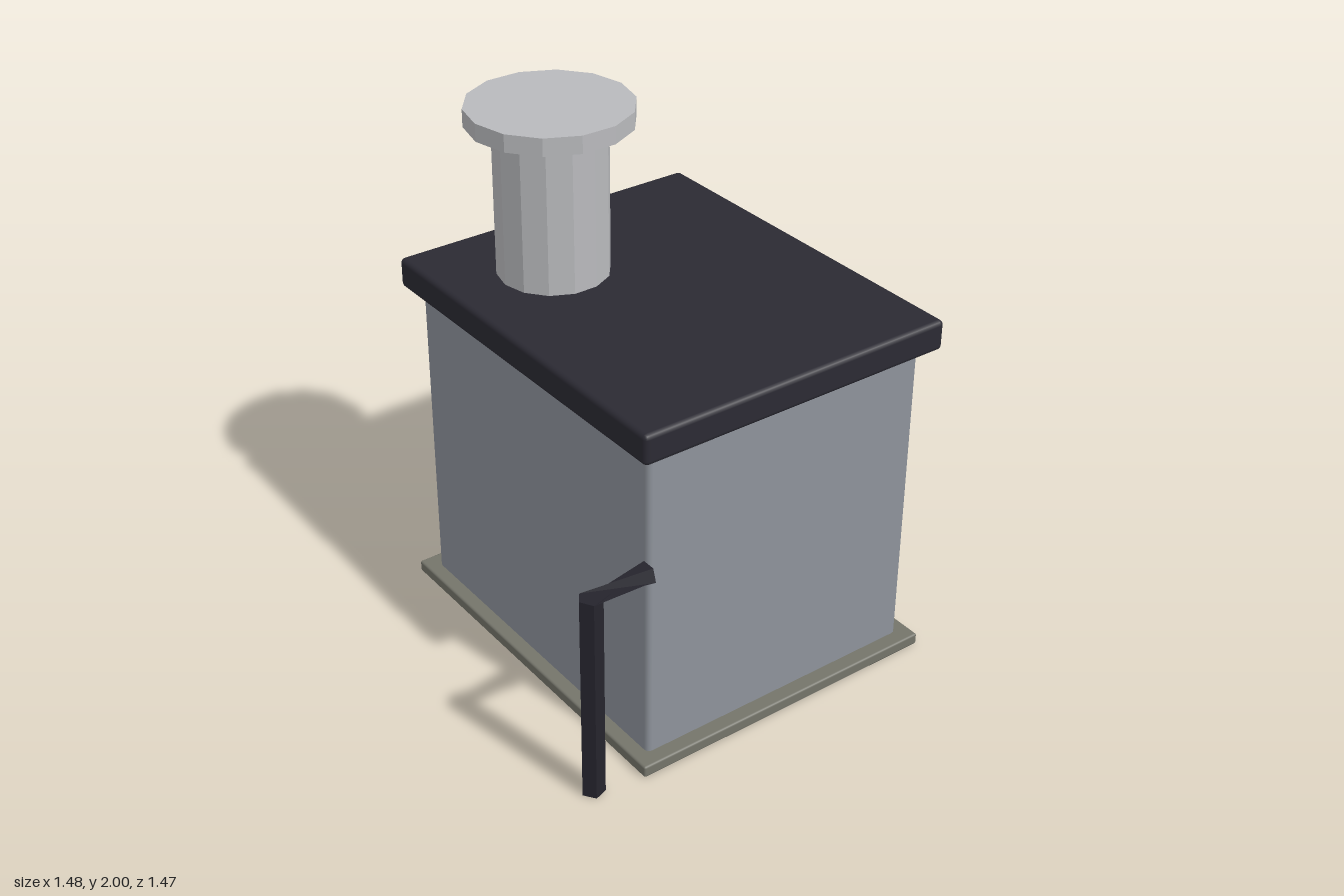
import * as THREE from 'three';
import { RoundedBoxGeometry } from 'three/addons/geometries/RoundedBoxGeometry.js';

const mat = (name, color, flatShading = false) => {
  const m = new THREE.MeshStandardMaterial({ color, flatShading });
  m.name = name;
  return m;
};

export function createModel() {
  const group = new THREE.Group();
  const steel = mat('greySteel', 0x8e939b);
  const dark = mat('darkTrim', 0x2b2a33);
  const handleDark = mat('darkPipe', 0x25242d, true);
  const stone = mat('baseGrey', 0x74746a);
  const zinc = mat('chimneyGrey', 0xb9babd, true);

  const add = (name, geometry, material, x = 0, y = 0, z = 0) => {
    const mesh = new THREE.Mesh(geometry, material);
    mesh.name = name;
    mesh.position.set(x, y, z);
    group.add(mesh);
    return mesh;
  };
  // Rounded box given by its vertical extent, sharing the cabinet's centre line
  const block = (name, w, d, y0, y1, r, material) =>
    add(name, new RoundedBoxGeometry(w, y1 - y0, d, 2, r), material, 0, (y0 + y1) / 2, -0.109);

  // Cabinet
  block('base', 1.482, 1.25, 0, 0.045, 0.008, stone);
  block('body', 1.365, 1.142, 0.01, 1.258, 0.02, steel);
  block('lid', 1.482, 1.25, 1.258, 1.372, 0.018, dark);

  // Chimney and its cap
  add('chimney', new THREE.CylinderGeometry(0.2035, 0.2035, 0.6, 14), zinc, -0.345, 1.65, 0.12);
  add('chimneyCap', new THREE.CylinderGeometry(0.297, 0.297, 0.065, 14), zinc, -0.345, 1.9675, 0.12);

  // Vent panel on the back with a column of round-ended slots
  add('ventPanel', new THREE.BoxGeometry(1.155, 1.035, 0.02), steel, 0, 0.628, -0.68);
  for (let i = 0; i < 8; i++) {
    const r = i === 7 ? 0.015 : 0.025, half = 0.5 - r;
    const slot = new THREE.Shape();
    slot.absarc(half, 0, r, -Math.PI / 2, Math.PI / 2, false);
    slot.absarc(-half, 0, r, Math.PI / 2, Math.PI * 1.5, false);
    const geo = new THREE.ExtrudeGeometry(slot, { depth: 0.004, bevelEnabled: false, curveSegments: 6 });
    add('ventSlot', geo, dark, 0, 0.215 + i * 0.12, -0.693);
  }

  // Side pipe: five-sided rings, upright then twisting into the cabinet
  const sides = 5, r = 0.043, rings = [];
  const ring = fn => rings.push(Array.from({ length: sides }, (_, i) => fn((i / sides) * Math.PI * 2)));
  ring(a => [0.685 + r * Math.sin(a), 0, 0.692 + r * Math.cos(a)]);
  ring(a => [0.685 + r * Math.sin(a), 0.804 + 0.006 * Math.cos(a), 0.692 + r * Math.cos(a)]);
  const twist = Math.PI * 0.6;
  ring(a => [0.685 + r * Math.sin(a + twist), 0.804 + r * Math.cos(a + twist), 0.462]);
  const index = [];
  for (let k = 0; k < 2; k++) {
    for (let i = 0; i < sides; i++) {
      const a = k * sides + i, b = k * sides + (i + 1) % sides;
      index.push(a, b, b + sides, a, b + sides, a + sides);
    }
  }
  for (let i = 1; i < sides - 1; i++) {
    index.push(0, i + 1, i);
    index.push(10, 10 + i, 11 + i);
  }
  const pipe = new THREE.BufferGeometry();
  pipe.setAttribute('position', new THREE.Float32BufferAttribute(rings.flat(2), 3));
  pipe.setIndex(index);
  pipe.computeVertexNormals();
  add('sidePipe', pipe, handleDark);

  return group;
}
